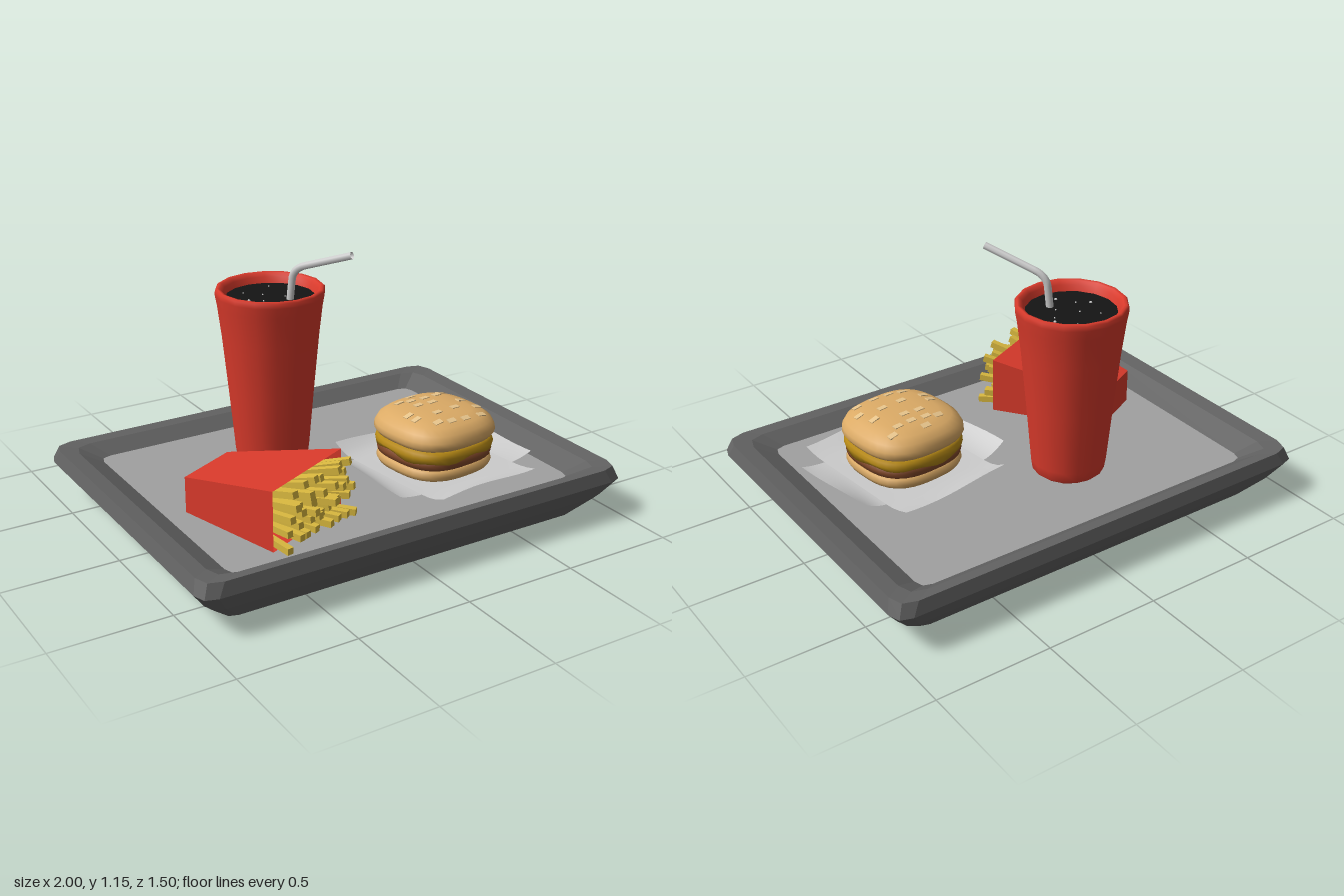
import * as THREE from 'three';
import { mergeVertices, mergeGeometries } from 'three/addons/utils/BufferGeometryUtils.js';

const FLOOR = 0.172;
const mat = (color, extra = {}) => new THREE.MeshStandardMaterial({ color, ...extra });
const v3 = (x, y, z) => new THREE.Vector3(x, y, z);

function add(parent, name, geometry, material) {
  const mesh = new THREE.Mesh(geometry, material);
  mesh.name = name;
  parent.add(mesh);
  return mesh;
}

function fromTriangles(points) {
  const g = new THREE.BufferGeometry().setFromPoints(points);
  g.computeVertexNormals();
  return g;
}

const lathe = (profile, sides) =>
  new THREE.LatheGeometry(profile.map(([r, y]) => new THREE.Vector2(r, y)), sides);

function seeded(seed) {
  return () => (seed = (seed * 16807) % 2147483647) / 2147483647;
}

// Rectangle outline with three points on every corner
function trayRing([hx, hz, y, c, lift]) {
  const ring = [];
  for (const [sx, sz] of [[1, 1], [-1, 1], [-1, -1], [1, -1]]) {
    const corner = [[0, c], [c * 0.25, c * 0.25], [c, 0]];
    if (sx * sz < 0) corner.reverse();
    corner.forEach(([dx, dz]) => ring.push(v3(sx * (hx - dx), y + lift, sz * (hz - dz))));
  }
  return ring;
}

function buildTray(group) {
  // half width, half depth, height, corner cut, corner lift
  const rings = [
    [0.84, 0.625, 0, 0.05, 0],
    [0.94, 0.70, 0.09, 0.06, 0],
    [1.0, 0.75, 0.17, 0.07, 0],
    [0.98, 0.735, 0.222, 0.08, 0.004],
    [0.91, 0.685, 0.215, 0.08, 0.004],
    [0.815, 0.615, FLOOR, 0.05, 0],
  ].map(trayRing);
  const n = rings[0].length, shell = [], floor = [];
  for (let j = 0; j < n; j++) {
    const k = (j + 1) % n;
    for (let i = 0; i + 1 < rings.length; i++) {
      const lo = rings[i], up = rings[i + 1];
      shell.push(lo[j], up[j], up[k], lo[j], up[k], lo[k]);
    }
    shell.push(v3(0, 0, 0), rings[0][j], rings[0][k]);
    floor.push(v3(0, FLOOR, 0), rings[5][k], rings[5][j]);
  }
  add(group, 'tray', fromTriangles(shell), mat(0x626262, { flatShading: true }));
  add(group, 'trayFloor', fromTriangles(floor), mat(0xa0a0a0, { flatShading: true }));
}

function buildDrink(group) {
  const cup = new THREE.Group();
  cup.name = 'drink';
  cup.position.set(-0.157, 0, -0.235);
  group.add(cup);
  add(cup, 'cup', lathe([
    [0, FLOOR], [0.14, FLOOR], [0.155, 0.185], [0.162, 0.23], [0.186, 0.5], [0.209, 0.74],
    [0.226, 0.88], [0.234, 0.925], [0.233, 0.945], [0.225, 0.953], [0.213, 0.95],
    [0.2, 0.935], [0.187, 0.9],
  ], 16), mat(0xd93a2b));
  const liquid = add(cup, 'liquid', new THREE.CircleGeometry(0.192, 16).rotateX(-Math.PI / 2), mat(0x141414));
  liquid.position.y = 0.91;

  // Small bubbles on the drink
  const spots = [[-0.11, 0.015], [-0.08, -0.09], [0.06, -0.12], [-0.02, -0.03], [0.12, -0.05],
    [-0.06, 0.05], [0.1, -0.02], [0.05, 0.04], [-0.01, 0.12]];
  spots.forEach(([x, z], i) => {
    const bubble = add(cup, 'bubble', new THREE.SphereGeometry(i % 4 ? 0.004 : 0.007, 6, 4), mat(0xcccccc));
    bubble.position.set(x, 0.911, z);
  });

  // Bent straw
  const path = new THREE.CurvePath();
  const a = v3(-0.108, 0.9, -0.155), b = v3(-0.1, 1.0, -0.148), c = v3(-0.07, 1.06, -0.105), d = v3(0.047, 1.133, 0.085);
  path.add(new THREE.LineCurve3(a, b));
  path.add(new THREE.QuadraticBezierCurve3(b, v3(-0.096, 1.042, -0.143), c));
  path.add(new THREE.LineCurve3(c, d));
  add(group, 'straw', new THREE.TubeGeometry(path, 24, 0.016, 8), mat(0xcccccc, { side: THREE.DoubleSide }));
}

// Lathe pressed into a rounded-square plan
function squarish(profile, deform) {
  const g = lathe(profile, 40);
  const p = g.attributes.position;
  for (let i = 0; i < p.count; i++) {
    const x = p.getX(i), z = p.getZ(i), t = Math.atan2(z, x);
    const f = (Math.abs(Math.cos(t)) ** 2.8 + Math.abs(Math.sin(t)) ** 2.8) ** (-1 / 2.8);
    p.setXYZ(i, x * f, p.getY(i) + (deform ? deform(t, Math.hypot(x, z), p.getY(i)) : 0), z * f);
  }
  g.deleteAttribute('uv');
  g.deleteAttribute('normal');
  const merged = mergeVertices(g, 1e-5);
  merged.computeVertexNormals();
  return merged;
}

function buildBurger(group) {
  const burger = new THREE.Group();
  burger.name = 'burger';
  burger.position.set(0.403, 0, 0.192);
  burger.rotation.y = 0.115;
  group.add(burger);
  const bun = mat(0xdcab66);
  add(burger, 'bottomBun', squarish([[0, 0.18], [0.19, 0.18], [0.215, 0.19], [0.225, 0.21],
    [0.22, 0.232], [0.205, 0.24], [0, 0.24]]), bun);
  add(burger, 'patty', squarish([[0, 0.232], [0.205, 0.232], [0.221, 0.242], [0.225, 0.262],
    [0.221, 0.285], [0.2, 0.292], [0, 0.292]]), mat(0x83492a));
  // Melted slice, lower rim hanging in drips
  const drip = (t, r, y) => (y < 0.292 && r > 0.2 ? -0.013 * (1 + Math.sin(5 * t + 0.6) * Math.cos(2 * t)) : 0);
  add(burger, 'cheese', squarish([[0.2, 0.29], [0.226, 0.286], [0.231, 0.295], [0.226, 0.312],
    [0.215, 0.328], [0, 0.33]], drip), mat(0xba8c16, { side: THREE.DoubleSide }));
  const crown = [[0, 0.322], [0.2, 0.322], [0.225, 0.328], [0.236, 0.346], [0.234, 0.368],
    [0.22, 0.395], [0.19, 0.418], [0.14, 0.433], [0.07, 0.438], [0, 0.439]];
  const top = add(burger, 'topBun', squarish(crown), bun);

  // Sesame seeds laid on the crown
  const seedMat = mat(0xe8c58c);
  const ray = new THREE.Raycaster();
  const spots = [[0, -0.16], [-0.09, -0.13], [-0.04, -0.11], [0.03, -0.1], [0.1, -0.1], [0.15, -0.13],
    [-0.05, -0.05], [0.02, -0.04], [0.14, 0.01], [-0.15, 0], [-0.15, 0.05], [-0.04, 0.06],
    [0.16, 0.09], [-0.1, 0.13], [-0.04, 0.15], [0.03, 0.16], [0.12, 0.16], [0.06, 0.06]];
  spots.forEach(([x, z]) => {
    ray.set(v3(x, 1, z), v3(0, -1, 0));
    const hit = ray.intersectObject(top)[0];
    if (!hit) return;
    const seed = add(burger, 'sesameSeed', new THREE.BoxGeometry(0.04, 0.006, 0.025), seedMat);
    seed.position.copy(hit.point);
    seed.quaternion.setFromUnitVectors(v3(0, 1, 0), hit.face.normal);
  });

  // Paper: long sheet with two side flaps, edges curling up
  const sheet = (w, d, x) => new THREE.PlaneGeometry(w, d, 10, 16).rotateX(-Math.PI / 2).translate(x, 0, 0);
  const paper = mergeGeometries([sheet(0.525, 0.71, 0), sheet(0.115, 0.44, 0.32), sheet(0.115, 0.44, -0.32)]);
  const p = paper.attributes.position;
  for (let i = 0; i < p.count; i++) {
    const x = p.getX(i), z = p.getZ(i);
    const curl = Math.max(0, Math.abs(x) - 0.24) ** 2 * 2 + Math.max(0, Math.abs(z) - 0.23) ** 2 * 1.8;
    p.setY(i, FLOOR + 0.006 + curl * (1 + 0.4 * Math.sin(9 * x + 7 * z)));
  }
  paper.computeVertexNormals();
  add(burger, 'wrapper', paper, mat(0xcccccc, { side: THREE.DoubleSide }));
}

function buildFries(group) {
  const fries = new THREE.Group();
  fries.name = 'fries';
  group.add(fries);
  // Point in the carton: u across, v back to front, w bottom to top
  const at = (u, v, w) => {
    const back = v3(-0.73, 0, 0.07).lerp(v3(-0.47, 0, -0.06), u);
    const front = v3(-0.60, 0, 0.555).lerp(v3(-0.17, 0, 0.35), u);
    const q = back.lerp(front, v);
    q.y = FLOOR + 0.004 + w * (0.155 + 0.1 * v);
    return q;
  };
  const quad = (a, b, c, d) => [a, b, c, a, c, d].map(([u, v, w]) => at(u, v, w));
  add(fries, 'carton', fromTriangles([
    ...quad([0, 0, 1], [0, 1, 1], [1, 1, 1], [1, 0, 1]),
    ...quad([0, 0, 0], [1, 0, 0], [1, 1, 0], [0, 1, 0]),
    ...quad([0, 0, 0], [0, 0, 1], [1, 0, 1], [1, 0, 0]),
    ...quad([0, 0, 0], [0, 1, 0], [0, 1, 1], [0, 0, 1]),
    ...quad([1, 0, 0], [1, 0, 1], [1, 1, 1], [1, 1, 0]),
  ]), mat(0xd93a2b, { side: THREE.DoubleSide, flatShading: true }));

  // Fanned sticks
  const rand = seeded(4217);
  const stickMat = mat(0xd9b83f, { flatShading: true });
  for (let row = 0; row < 5; row++) {
    for (let col = 0; col < 8; col++) {
      const u = 0.1 + col * 0.115 + (rand() - 0.5) * 0.08;
      const w = 0.09 + row * 0.19;
      const start = at(0.15 + u * 0.6, 0.2 + rand() * 0.2, 0.15 + w * 0.6);
      const end = at(u, 1.08 + rand() * 0.14, Math.min(0.9, w + (rand() - 0.4) * 0.12));
      const stick = add(fries, 'fry', new THREE.BoxGeometry(0.028, 0.028, start.distanceTo(end)), stickMat);
      stick.position.copy(start).lerp(end, 0.5);
      stick.lookAt(end);
    }
  }
}

export function createModel() {
  const model = new THREE.Group();
  model.name = 'mealTray';
  buildTray(model);
  buildDrink(model);
  buildBurger(model);
  buildFries(model);
  return model;
}
